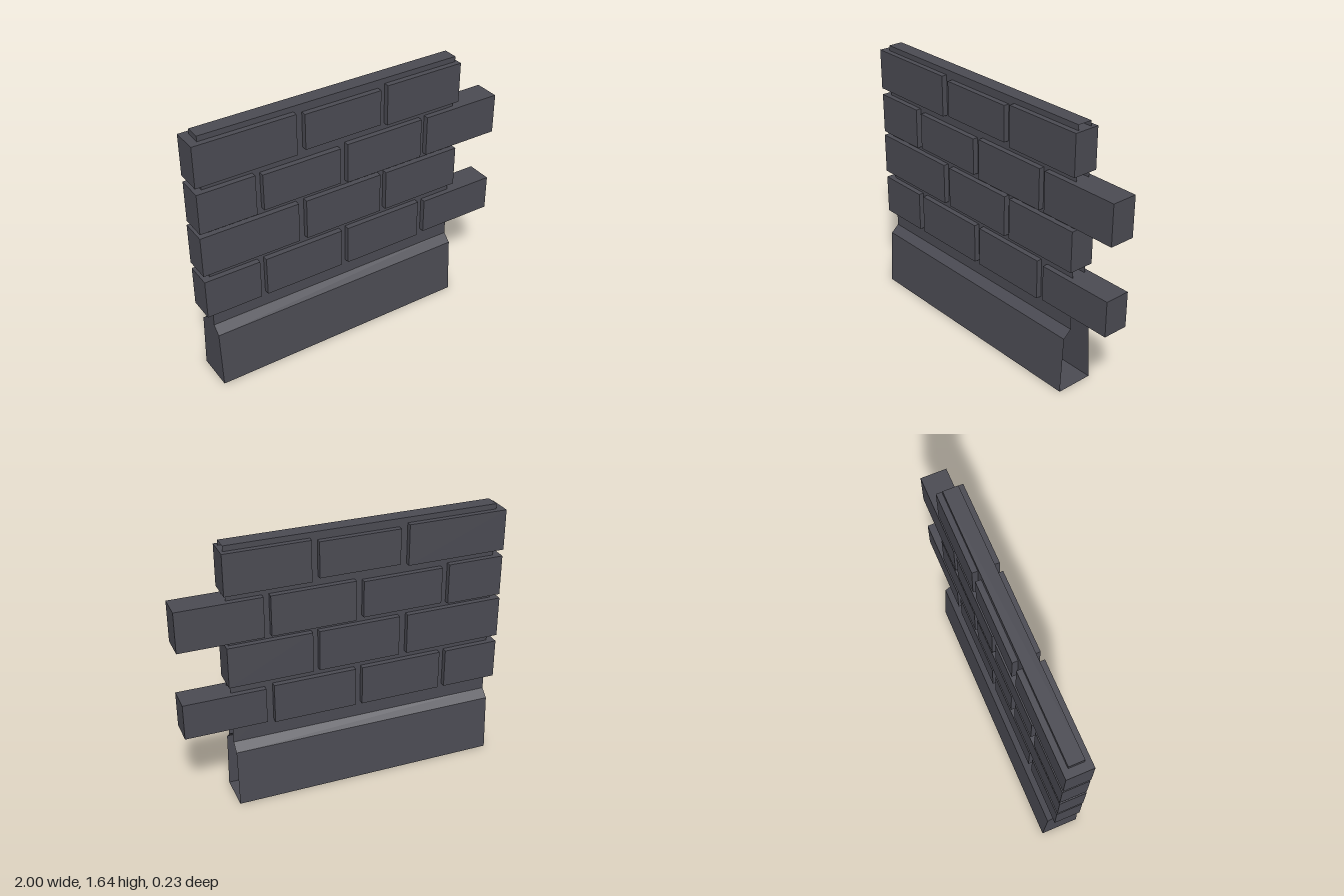
import * as THREE from 'three';

const stone = new THREE.MeshStandardMaterial({ color: 0x4a4a52, side: THREE.DoubleSide });
stone.name = 'dark stone';

// Wall cross-section as [z, y]: flared footing, sloped shoulder, thin mortar core
const half = [[0.117, 0], [0.097, 0.355], [0.046, 0.4], [0.046, 1.645]];
const profile = [...half, ...half.map(([z, y]) => [-z, y]).reverse()];
const LEFT_END = 0.7, RIGHT_END = -0.95, DEPTH = 0.16;

// Rows of bricks: bottom, top, then [x start, x end, vertical inset]
const rows = [
  [0.5, 0.747, [[-0.997, -0.65], [-0.61, -0.102], [-0.059, 0.449], [0.497, 0.992, 0.012]]],
  [0.789, 1.043, [[-1, -0.387], [-0.337, 0.166], [0.206, 0.716]]],
  [1.07, 1.321, [[-0.997, -0.648], [-0.604, -0.107, 0.012], [-0.061, 0.451], [0.492, 1]]],
  [1.361, 1.612, [[-1, -0.384], [-0.332, 0.161, 0.016], [0.206, 0.716]]],
];

// Sweep the profile along x, leaving the +x end open
function sweepProfile() {
  const pos = [];
  profile.forEach(([az, ay], i) => {
    const [bz, by] = profile[(i + 1) % profile.length];
    const a0 = [RIGHT_END, ay, az], a1 = [LEFT_END, ay, az];
    const b0 = [RIGHT_END, by, bz], b1 = [LEFT_END, by, bz];
    pos.push(...a0, ...a1, ...b1, ...a0, ...b1, ...b0);
  });
  const geo = new THREE.BufferGeometry();
  geo.setAttribute('position', new THREE.Float32BufferAttribute(pos, 3));
  geo.computeVertexNormals();
  return geo;
}

export function createModel() {
  const model = new THREE.Group();
  model.name = 'brickWall';

  const add = (parent, name, geo) => {
    const mesh = new THREE.Mesh(geo, stone);
    mesh.name = name;
    parent.add(mesh);
    return mesh;
  };

  // Footing and core, closed at the -x end only
  const core = new THREE.Group();
  core.name = 'footingAndCore';
  add(core, 'coreShell', sweepProfile());
  const capShape = new THREE.Shape(profile.map(([z, y]) => new THREE.Vector2(z, y)));
  add(core, 'coreEndCap', new THREE.ShapeGeometry(capShape).rotateY(-Math.PI / 2))
    .position.x = RIGHT_END;
  model.add(core);

  // Bricks passing through the core and showing on both faces
  rows.forEach(([bottom, top, bricks], r) => {
    const row = new THREE.Group();
    row.name = `brickRow${r + 1}`;
    bricks.forEach(([x0, x1, inset = 0], i) => {
      const geo = new THREE.BoxGeometry(x1 - x0, top - bottom - 2 * inset, DEPTH);
      add(row, `brick${i + 1}`, geo).position.set((x0 + x1) / 2, (bottom + top) / 2, 0);
    });
    model.add(row);
  });

  return model;
}
